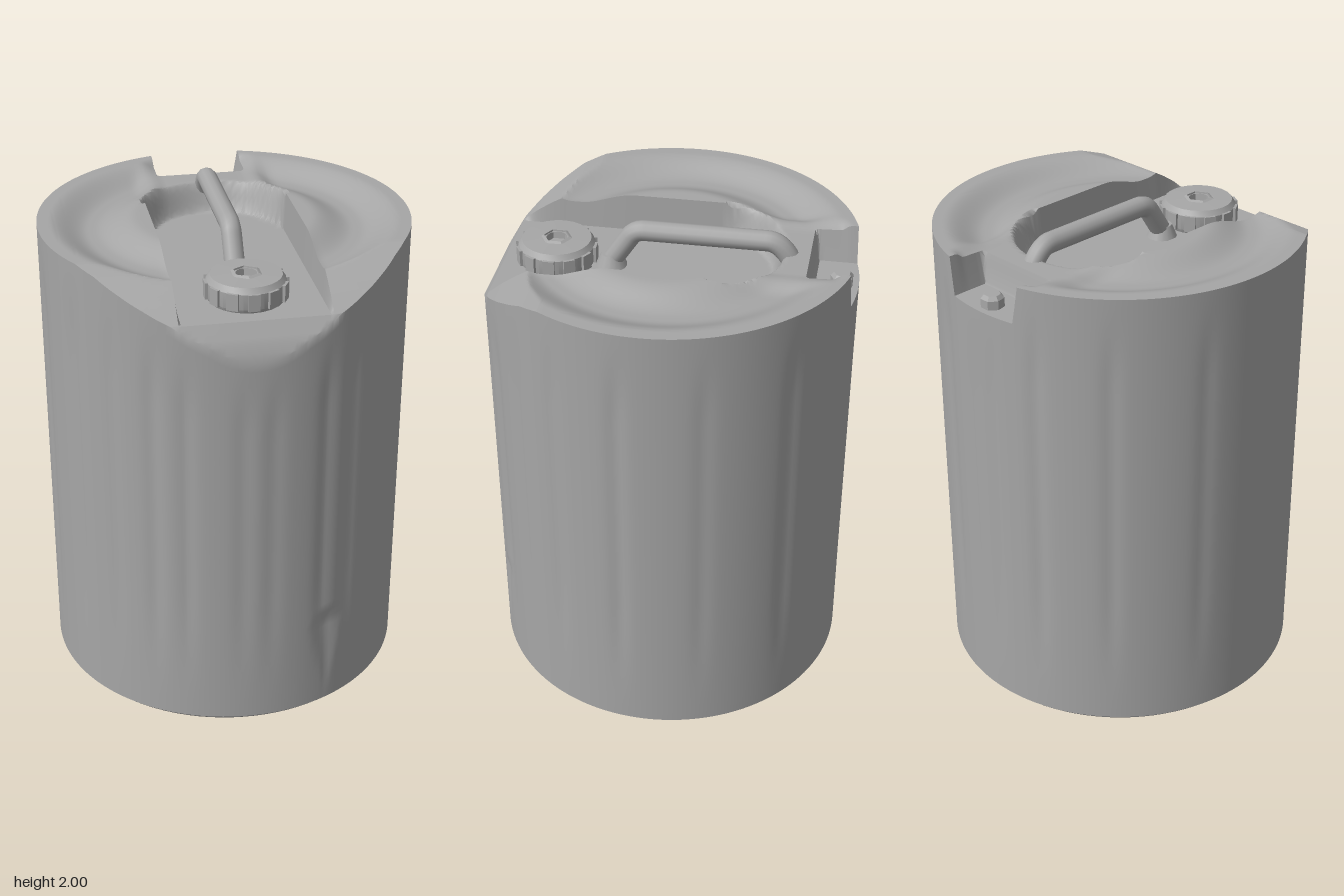
import * as THREE from 'three';
import { toCreasedNormals } from 'three/addons/utils/BufferGeometryUtils.js';

const R = 0.725, BASE_Y = 0.06, DECK = 1.95, FLOOR = 1.8;
const step = THREE.MathUtils.smoothstep;
const lerp = THREE.MathUtils.lerp;

// Rounded shoulder that falls away towards the front
const SHOULDER = [[0.38, 1.95], [0.46, 1.93], [0.54, 1.885], [0.6, 1.845], [0.655, 1.8], [0.7, 1.73], [0.726, 1.66]];
function shoulder(z) {
  if (z <= SHOULDER[0][0]) return DECK;
  const i = Math.max(1, SHOULDER.findIndex(p => p[0] >= z));
  const [a, b] = [SHOULDER[i - 1], SHOULDER[i]];
  return lerp(a[1], b[1], (z - a[0]) / (b[0] - a[0]));
}

// Height of the top: rim, ring trough, arched recess, saddle and rear notch
function topHeight(x, z) {
  const r = Math.hypot(x, z), ax = Math.abs(x);
  const trough = step(r, 0.34, 0.5) * (1 - step(r, 0.53, 0.68));
  let y = DECK - 0.05 * trough * step(ax, 0.16, 0.3);
  if (z < -0.3) y -= 0.03 * (1 - step(ax, 0.16, 0.24)) * (1 - step(r, 0.66, 0.7));
  const d = z > -0.17 ? ax - 0.28 : (Math.hypot(ax / 0.28, (z + 0.17) / 0.25) - 1) * 0.26;
  const edge = z > -0.17 ? 0.005 : lerp(0.005, 0.03, Math.min(1, (-0.17 - z) / 0.1));
  y = lerp(y, FLOOR, 1 - step(d, -edge, edge));
  const notch = (1 - step(ax, 0.16, 0.185)) * (1 - step(z, -0.56, -0.535));
  y = lerp(y, FLOOR, notch);
  return Math.min(y, shoulder(z));
}

// Shallow upright folds and a small front dent in the wall
const FOLDS = [0.08, 0.38, 0.56, 0.8, 1.08, 1.45, 1.9, 2.4, 2.8, 3.08];
function wallOffset(angle, y, t) {
  const a = Math.abs(angle);
  let o = 0;
  FOLDS.forEach((f, i) => { o -= (0.005 + 0.002 * (i % 3)) * Math.exp(-(((a - f) / 0.045) ** 2)); });
  o *= step(y, 0.12, 0.7) * (1 - step(t, 0.8, 0.98));
  const x = R * Math.sin(angle);
  if (a < 1 && y > 0.08 && y < 0.47) {
    const w = 0.08 * (y - 0.08) / 0.39;
    o -= 0.016 * Math.max(0, 1 - Math.abs(x - 0.3) / w) * (y - 0.08) / 0.39;
  }
  return o;
}

function bodyGeometry() {
  const xs = [], zs = [], pos = [], index = [];
  for (let k = -66; k <= 66; k++) xs.push(R * Math.sin(k * Math.PI / 132));
  for (const e of [0.16, 0.185, 0.275, 0.285]) xs.push(e, -e);
  for (let k = 0; k <= 120; k++) zs.push(lerp(-R, R, k / 120));
  zs.push(-0.56, -0.535, 0.38, 0.655);
  xs.sort((a, b) => a - b);
  zs.sort((a, b) => a - b);

  const va = new THREE.Vector3(), vb = new THREE.Vector3(), vc = new THREE.Vector3();
  const tri = (a, b, c) => {
    va.fromArray(pos, a * 3);
    vb.fromArray(pos, b * 3).sub(va);
    vc.fromArray(pos, c * 3).sub(va);
    if (vb.cross(vc).length() > 1e-9) index.push(a, b, c);
  };
  const quads = (start, n, m) => {
    for (let i = 0; i < n - 1; i++) for (let j = 0; j < m - 1; j++) {
      const a = start + i * m + j;
      tri(a, a + 1, a + m);
      tri(a + m, a + 1, a + m + 1);
    }
  };

  // Top, trimmed to the round outline
  const half = x => Math.sqrt(Math.max(0, R * R - x * x));
  for (const x of xs) for (const zl of zs) {
    const z = THREE.MathUtils.clamp(zl, -half(x), half(x));
    pos.push(x, topHeight(x, z), z);
  }
  quads(0, xs.length, zs.length);

  // Wall, running from the top edge down to the base
  const start = pos.length / 3, rows = 45;
  const loop = [...xs.map(x => [x, half(x)]), ...xs.slice(0, -1).reverse().map(x => [x, -half(x)])];
  for (const [x, z] of loop) {
    const top = topHeight(x, z), angle = Math.atan2(x, z);
    for (let j = 0; j < rows; j++) {
      const t = 1 - j / (rows - 1);
      const y = lerp(BASE_Y, top, t);
      const s = 1 + wallOffset(angle, y, t) / R;
      pos.push(x * s, y, z * s);
    }
  }
  quads(start, loop.length, rows);

  const g = new THREE.BufferGeometry();
  g.setAttribute('position', new THREE.Float32BufferAttribute(pos, 3));
  g.setIndex(index);
  return toCreasedNormals(g, 0.7);
}

function lathe(points, segments, crease = 0.5) {
  const g = new THREE.LatheGeometry(points.map(p => new THREE.Vector2(...p)), segments);
  return toCreasedNormals(g, crease);
}

export function createModel() {
  const model = new THREE.Group();
  const plastic = new THREE.MeshStandardMaterial({ color: 0xa6a6a6 });
  plastic.name = 'grey plastic';
  const add = (name, geometry, parent = model) => {
    const mesh = new THREE.Mesh(geometry, plastic);
    mesh.name = name;
    parent.add(mesh);
    return mesh;
  };

  add('body', bodyGeometry());

  // Underside: chamfer, standing ring and hollow centre
  add('base', lathe([[0, 0.08], [0.28, 0.08], [0.33, 0.03], [0.38, 0.035], [0.45, 0.0],
    [0.58, 0.0], [0.64, 0.012], [0.705, 0.04], [R, BASE_Y]], 96));

  // Carrying handle bridging the recess
  const path = new THREE.CurvePath();
  const v = (y, z) => new THREE.Vector3(0, y, z);
  path.add(new THREE.LineCurve3(v(1.78, 0.26), v(1.93, 0.16)));
  path.add(new THREE.QuadraticBezierCurve3(v(1.93, 0.16), v(1.96, 0.14), v(1.96, 0.1)));
  path.add(new THREE.LineCurve3(v(1.96, 0.1), v(1.96, -0.37)));
  path.add(new THREE.QuadraticBezierCurve3(v(1.96, -0.37), v(1.96, -0.42), v(1.89, -0.46)));
  add('handle', new THREE.TubeGeometry(path, 60, 0.04, 12));
  const foot = add('handleFoot', new THREE.CylinderGeometry(0.04, 0.065, 0.06, 16));
  foot.position.set(0, 1.82, 0.235);

  // Screw cap with grip ribs and a hexagonal dimple
  const cap = new THREE.Group();
  cap.name = 'cap';
  cap.position.set(0, 0, 0.45);
  model.add(cap);
  add('capShell', lathe([[0.14, 1.795], [0.15, 1.815], [0.15, 1.875], [0.135, 1.897], [0.06, 1.9]], 24), cap);
  add('capDimple', lathe([[0.062, 1.899], [0.05, 1.905], [0.045, 1.87], [0, 1.87]], 6, 0.2), cap);
  add('capCentre', new THREE.RingGeometry(0.04, 0.075, 24).rotateX(-Math.PI / 2).translate(0, 1.8985, 0), cap);
  for (let i = 0; i < 12; i++) {
    const a = i * Math.PI / 6;
    const rib = add('capRib', new THREE.BoxGeometry(0.045, 0.065, 0.02), cap);
    rib.position.set(0.148 * Math.sin(a), 1.845, 0.148 * Math.cos(a));
    rib.rotation.y = a;
  }

  // Vent plug in the rear notch
  add('ventPlug', lathe([[0.045, 1.79], [0.045, 1.835], [0.032, 1.85], [0, 1.85]], 7, 0.4)).position.z = -0.66;

  return model;
}
